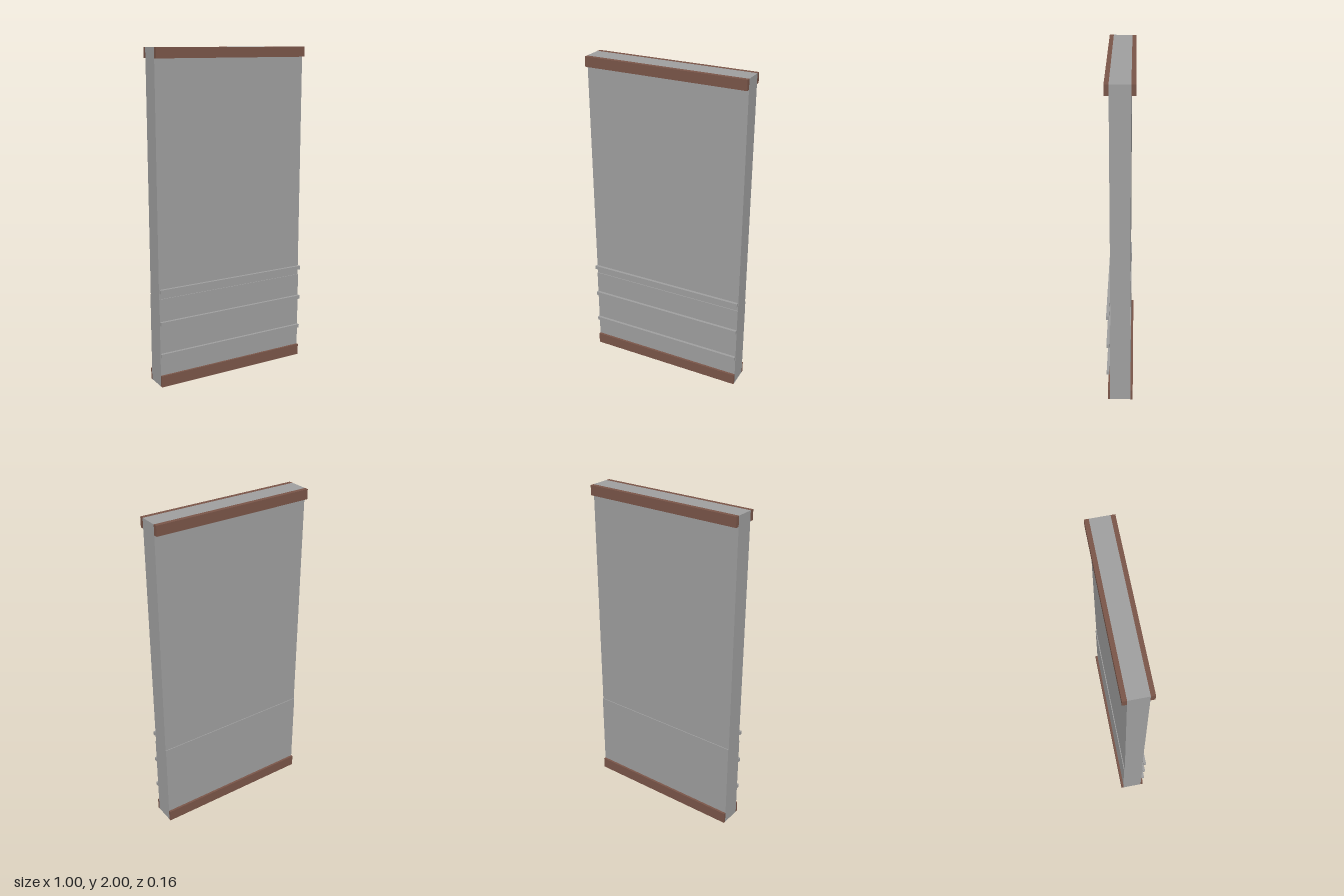
import * as THREE from 'three';

export function createModel() {
  const model = new THREE.Group();
  model.name = 'wallPanel';
  const grey = new THREE.MeshStandardMaterial({ name: 'wall grey', color: 0x9e9e9e });
  const brown = new THREE.MeshStandardMaterial({ name: 'trim brown', color: 0x795548 });

  // Full-width block spanning y0..y1 and z0..z1
  function slab(name, material, y0, y1, z0, z1) {
    const mesh = new THREE.Mesh(new THREE.BoxGeometry(1, y1 - y0, z1 - z0), material);
    mesh.position.set(0, (y0 + y1) / 2, (z0 + z1) / 2);
    mesh.name = name;
    model.add(mesh);
  }

  // Wall with a slightly thicker lower section
  slab('upperWall', grey, 0.55, 2, -0.057, 0.057);
  slab('lowerWall', grey, 0, 0.55, -0.062, 0.062);

  // Crown and base trims on both faces
  slab('crownTrimFront', brown, 1.94, 2, 0.057, 0.082);
  slab('crownTrimBack', brown, 1.94, 2, -0.082, -0.057);
  slab('baseTrimFront', brown, 0, 0.07, 0.062, 0.076);
  slab('baseTrimBack', brown, 0, 0.07, -0.076, -0.062);

  // Horizontal rails standing just off the front face
  [0.2, 0.4, 0.6].forEach((y, i) =>
    slab(`rail${i + 1}`, grey, y - 0.0115, y + 0.0115, 0.065, 0.082));

  return model;
}
